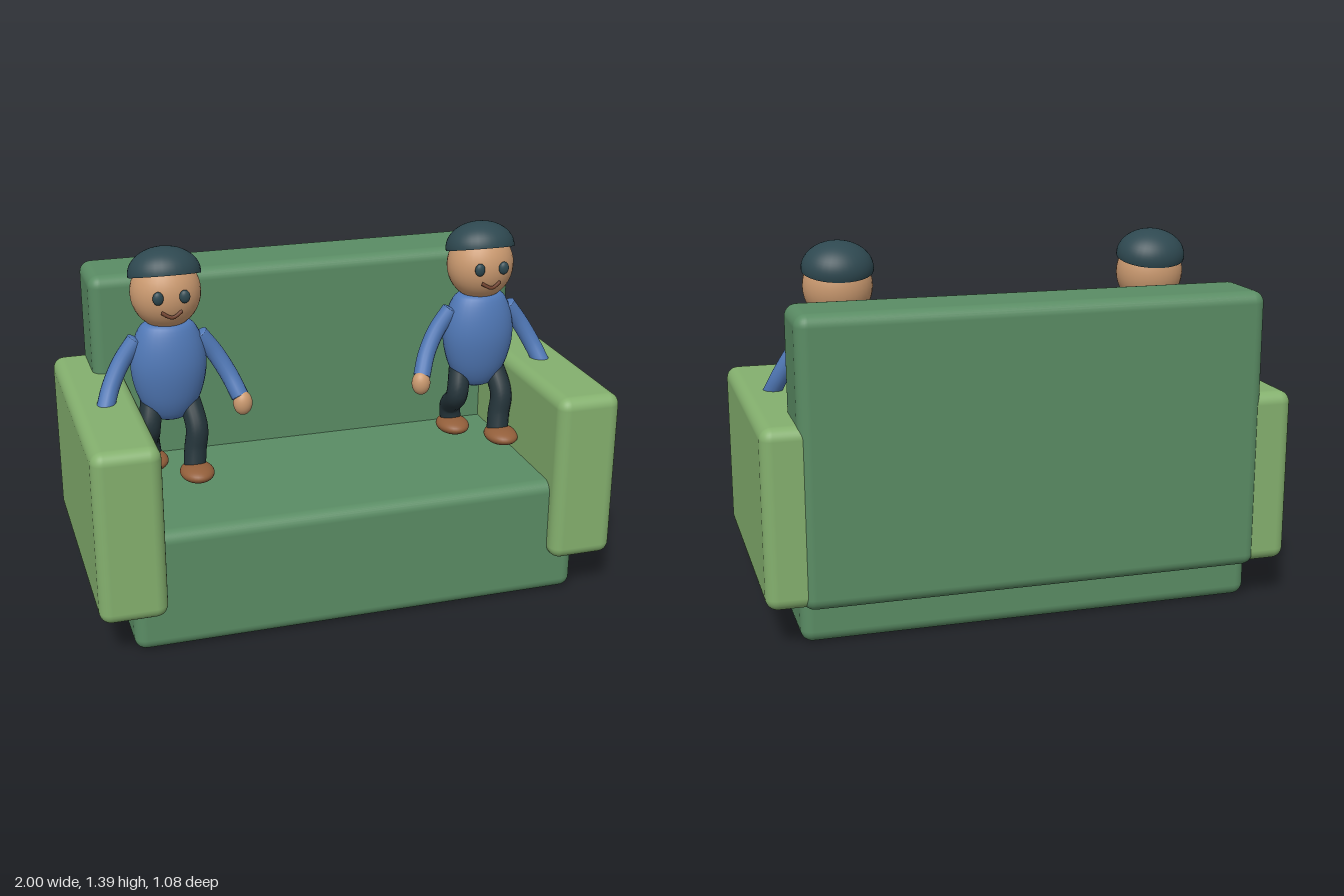
import * as THREE from 'three';
import { RoundedBoxGeometry } from 'three/addons/geometries/RoundedBoxGeometry.js';

const material = (name, color) => {
  const m = new THREE.MeshStandardMaterial({ color });
  m.name = name;
  return m;
};

export function createModel() {
  const mats = {
    sofa: material('sofaGreen', 0x5a8c64),
    arm: material('armrestGreen', 0x84b06e),
    skin: material('skin', 0xcb9a70),
    shirt: material('shirtBlue', 0x5078b6),
    trousers: material('trousersDark', 0x24343a),
    hair: material('hairDark', 0x2e4850),
    shoe: material('shoeBrown', 0x925e3a),
    mouth: material('mouthBrown', 0x6e3f2a),
  };
  const model = new THREE.Group();
  model.name = 'sofaWithTwoPeople';

  const add = (parent, name, geometry, mat, x = 0, y = 0, z = 0) => {
    const mesh = new THREE.Mesh(geometry, mat);
    mesh.name = name;
    mesh.position.set(x, y, z);
    parent.add(mesh);
    return mesh;
  };
  const ellipsoid = (rx, ry, rz) => new THREE.SphereGeometry(1, 32, 20).scale(rx, ry, rz);

  // Rounded block given by its limits on each axis
  const block = (name, mat, [x0, x1], [y0, y1], [z0, z1]) =>
    add(model, name, new RoundedBoxGeometry(x1 - x0, y1 - y0, z1 - z0, 4, 0.045), mat,
      (x0 + x1) / 2, (y0 + y1) / 2, (z0 + z1) / 2);

  // Tube along a smooth path, closed by a flattened ball at each end
  const limb = (parent, name, mat, points, radius) => {
    const group = new THREE.Group();
    group.name = name;
    const path = points.map((p) => new THREE.Vector3(...p));
    const curve = new THREE.CatmullRomCurve3(path);
    add(group, name + 'Tube', new THREE.TubeGeometry(curve, 20, radius, 16), mat);
    [0, 1].forEach((t) => {
      const cap = add(group, name + 'End', ellipsoid(radius, radius, radius * 0.25), mat);
      cap.position.copy(curve.getPoint(t));
      cap.lookAt(curve.getPoint(t).add(curve.getTangent(t)));
    });
    parent.add(group);
  };

  // Sofa
  block('seat', mats.sofa, [-0.87, 0.87], [0, 0.47], [-0.46, 0.48]);
  block('backrest', mats.sofa, [-0.87, 0.87], [0.15, 1.215], [-0.54, -0.25]);
  block('leftArmrest', mats.arm, [0.75, 1], [0.16, 0.826], [-0.53, 0.54]);
  block('rightArmrest', mats.arm, [-1, -0.75], [0.16, 0.826], [-0.53, 0.54]);

  // Torso profile, turned and flattened front to back
  const profile = new THREE.SplineCurve([
    [0, 0.72], [0.06, 0.73], [0.107, 0.79], [0.135, 0.87], [0.144, 0.95],
    [0.131, 1.03], [0.1, 1.095], [0.06, 1.108], [0, 1.11],
  ].map((p) => new THREE.Vector2(...p))).getPoints(32);
  profile.forEach((p) => { p.x = Math.max(p.x, 0); });

  function buildPerson(name, x) {
    const person = new THREE.Group();
    person.name = name;
    person.position.x = x;
    model.add(person);

    add(person, 'torso', new THREE.LatheGeometry(profile, 32).scale(1, 1, 0.7), mats.shirt, 0, 0, 0.008);

    // Head and tilted hair cap
    add(person, 'head', ellipsoid(0.132, 0.138, 0.12), mats.skin, 0, 1.222, 0.005);
    const hair = new THREE.Group();
    hair.name = 'hair';
    hair.position.set(0, 1.29, -0.003);
    hair.rotation.x = -0.26;
    person.add(hair);
    const dome = new THREE.SphereGeometry(1, 32, 16, 0, Math.PI * 2, 0, Math.PI * 0.53);
    add(hair, 'hairCap', dome.scale(0.136, 0.099, 0.121), mats.hair);
    const under = new THREE.CircleGeometry(1, 32).rotateX(Math.PI / 2).scale(0.1354, 1, 0.1205);
    add(hair, 'hairUnderside', under, mats.hair, 0, -0.0093, 0);

    // Smile
    const smile = new THREE.CatmullRomCurve3([
      new THREE.Vector3(-0.038, 1.175, 0.117),
      new THREE.Vector3(0, 1.158, 0.129),
      new THREE.Vector3(0.038, 1.175, 0.117),
    ]);
    add(person, 'mouth', new THREE.TubeGeometry(smile, 16, 0.007, 8), mats.mouth);

    for (const [side, s] of [['left', 1], ['right', -1]]) {
      add(person, side + 'Eye', ellipsoid(0.02, 0.025, 0.014), mats.hair, s * 0.049, 1.232, 0.124);

      // Arms hang outward and curve forward
      limb(person, side + 'Sleeve', mats.shirt, [
        [s * 0.12, 1.045, 0.008], [s * 0.178, 0.965, 0.012],
        [s * 0.225, 0.88, 0.035], [s * 0.256, 0.805, 0.072],
      ], 0.034);
      add(person, side + 'Hand', ellipsoid(0.037, 0.048, 0.034), mats.skin, s * 0.264, 0.78, 0.085);

      // Left foot steps forward, right foot trails
      const step = s > 0 ? 0.085 : -0.075;
      limb(person, side + 'Leg', mats.trousers, [
        [s * 0.07, 0.8, 0.005], [s * 0.088, 0.69, s > 0 ? 0.065 : 0.03],
        [s * 0.078, 0.61, step * 0.85], [s * 0.07, 0.54, step],
      ], 0.043);
      add(person, side + 'Shoe', ellipsoid(0.065, 0.033, 0.085), mats.shoe, s * 0.073, 0.532, step + 0.03);
    }
  }

  buildPerson('leftPerson', 0.625);
  buildPerson('rightPerson', -0.622);
  return model;
}
